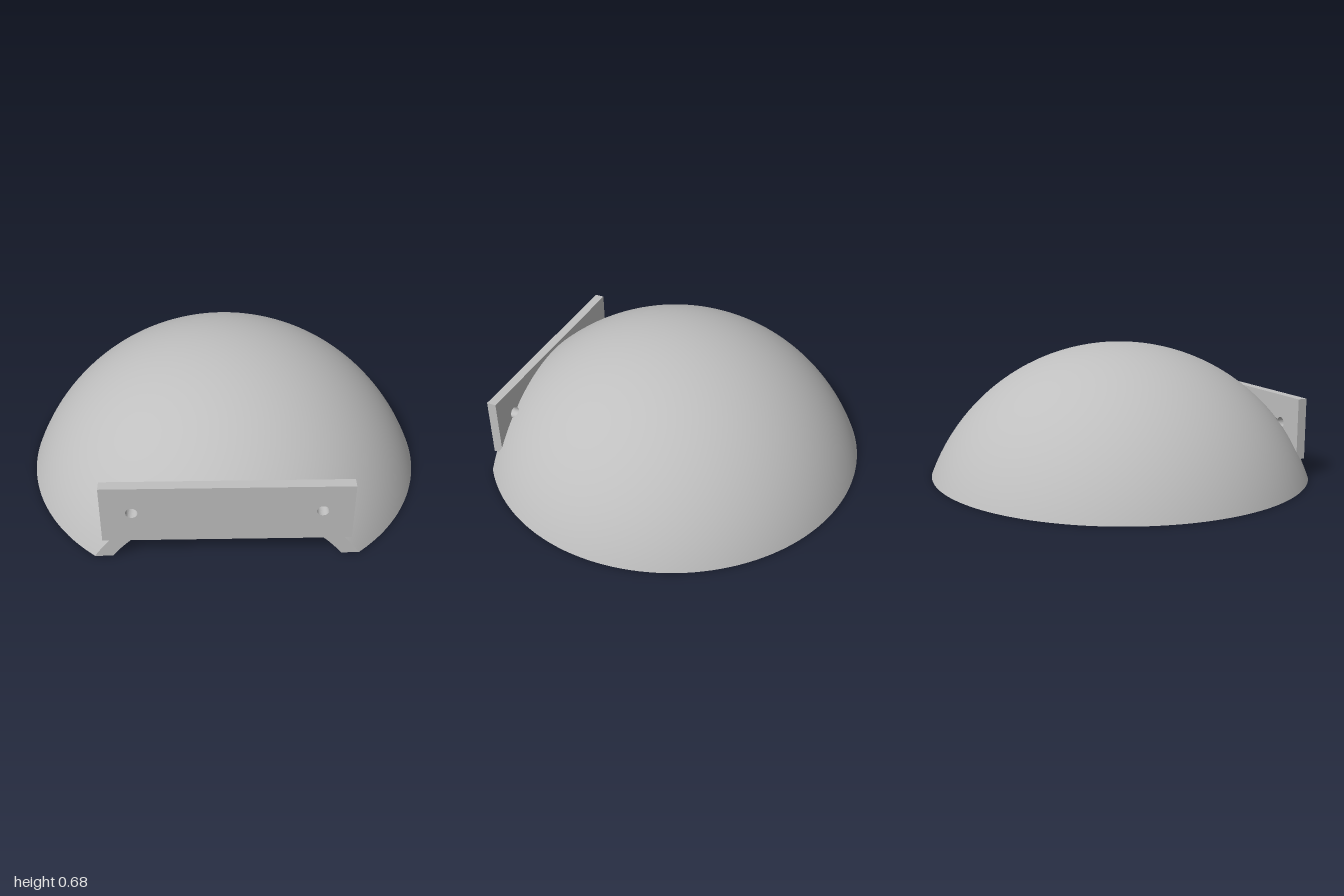
import * as THREE from 'three';

const metal = new THREE.MeshStandardMaterial({ color: 0xbfbfbf });
metal.name = 'plain grey';

// Sphere centre sits C below the base; the dome is sliced flat at local z = CUT
const C = 0.39, CZ = 0.11, CUT = 0.78;
const R_OUT = Math.hypot(1, C), R_IN = 1.026;
const HOLE = { x: 0.44, y: 0.27 + C, r: 0.028, floor: 0.80 - CZ, n: 24 };
const NU = 64, NV = 72;

function mesh(name, geometry) {
  const m = new THREE.Mesh(geometry, metal);
  m.name = name;
  return m;
}

// Points round a screw hole, lying on the sphere of radius R
function holeRim(R, side) {
  return Array.from({ length: HOLE.n }, (_, i) => {
    const a = (i / HOLE.n) * Math.PI * 2;
    const x = side * HOLE.x + HOLE.r * Math.cos(a), y = HOLE.y + HOLE.r * Math.sin(a);
    return new THREE.Vector3(x, y, Math.sqrt(R * R - x * x - y * y));
  });
}

// Part-sphere trimmed by the base and the front cut; facing is 1 outward, -1 inward
function domeSurface(R, facing, withHoles) {
  const t0 = Math.acos(CUT / R), span = Math.PI - Math.asin(C / R) - t0;
  const phiStart = (t) => Math.asin(Math.min(1, C / (R * Math.sin(t))));
  const pts = [], index = [];
  for (let j = 0; j <= NV; j++) {
    const t = t0 + span * Math.sin((j / NV) * Math.PI / 2);
    const p0 = phiStart(t), r = R * Math.sin(t);
    for (let i = 0; i <= NU; i++) {
      const phi = p0 + (Math.PI - 2 * p0) * i / NU;
      pts.push(new THREE.Vector3(r * Math.cos(phi), r * Math.sin(phi), R * Math.cos(t)));
    }
  }
  const id = (i, j) => j * (NU + 1) + i;
  const tri = (a, b, c) => {
    const n = pts[b].clone().sub(pts[a]).cross(pts[c].clone().sub(pts[a]));
    if (n.length() < 1e-10) return;
    if (n.dot(pts[a]) * facing > 0) index.push(a, b, c);
    else index.push(a, c, b);
  };

  // Grid windows that get re-triangulated round the screw holes
  const windows = withHoles ? [{ side: 1, i0: 12, i1: 17 }, { side: -1, i0: NU - 17, i1: NU - 12 }] : [];
  const rows = 3;
  for (let j = 0; j < NV; j++) for (let i = 0; i < NU; i++) {
    if (windows.some((w) => j < rows && i >= w.i0 && i < w.i1)) continue;
    tri(id(i, j), id(i + 1, j), id(i, j + 1));
    tri(id(i + 1, j), id(i + 1, j + 1), id(i, j + 1));
  }
  for (const w of windows) {
    const contour = [];
    for (let i = w.i0; i < w.i1; i++) contour.push([i, 0]);
    for (let j = 0; j < rows; j++) contour.push([w.i1, j]);
    for (let i = w.i1; i > w.i0; i--) contour.push([i, rows]);
    for (let j = rows; j > 0; j--) contour.push([w.i0, j]);
    const ids = contour.map(([i, j]) => id(i, j));
    const rim = holeRim(R, w.side).map((p) => {
      ids.push(pts.push(p) - 1);
      const t = Math.acos(p.z / R), p0 = phiStart(t);
      return new THREE.Vector2(
        (Math.atan2(p.y, p.x) - p0) / (Math.PI - 2 * p0) * NU,
        Math.asin((t - t0) / span) * 2 / Math.PI * NV);
    });
    const outline = contour.map(([i, j]) => new THREE.Vector2(i, j));
    for (const f of THREE.ShapeUtils.triangulateShape(outline, [rim])) tri(ids[f[0]], ids[f[1]], ids[f[2]]);
  }

  const g = new THREE.BufferGeometry().setFromPoints(pts);
  const normals = pts.flatMap((p) => p.clone().normalize().multiplyScalar(facing).toArray());
  g.setAttribute('normal', new THREE.Float32BufferAttribute(normals, 3));
  g.setIndex(index);
  return g;
}

// Wall of a blind screw hole, from the dome surface down to its floor
function pocketWall(side) {
  const pts = [], index = [], n = HOLE.n;
  for (const p of holeRim(R_OUT, side)) pts.push(p, new THREE.Vector3(p.x, p.y, HOLE.floor));
  for (let i = 0; i < n; i++) {
    const a = 2 * i, b = 2 * ((i + 1) % n);
    index.push(a, b, a + 1, b, b + 1, a + 1);
  }
  const g = new THREE.BufferGeometry().setFromPoints(pts);
  g.setIndex(index);
  g.computeVertexNormals();
  return g;
}

export function createModel() {
  const model = new THREE.Group();
  model.name = 'domeCover';

  // Hollow shell, in sphere-centred coordinates
  const shell = new THREE.Group();
  shell.name = 'domeShell';
  shell.position.set(0, -C, CZ);
  model.add(shell);
  shell.add(mesh('domeOutside', domeSurface(R_OUT, 1, true)));
  shell.add(mesh('domeInside', domeSurface(R_IN, -1, false)));

  // Flat rim underneath
  const rimIn = Math.sqrt(R_IN * R_IN - C * C);
  const aOut = Math.asin(CUT), aIn = Math.asin(CUT / rimIn);
  const rim = new THREE.Shape();
  rim.absarc(0, 0, 1, Math.PI - aOut, Math.PI * 2 + aOut, false);
  rim.absarc(0, 0, rimIn, Math.PI * 2 + aIn, Math.PI - aIn, true);
  const rimGeometry = new THREE.ShapeGeometry(rim, 128).rotateX(Math.PI / 2).translate(0, C, 0);
  shell.add(mesh('bottomRim', rimGeometry));

  for (const side of [1, -1]) {
    // Cut ends of the shell below the mounting plate
    const edge = (R, y) => new THREE.Vector2(side * Math.sqrt(R * R - CUT * CUT - y * y), y);
    const steps = [0, 0.025, 0.05, 0.075, 0.1].map((y) => y + C);
    const foot = new THREE.Shape([
      ...steps.map((y) => edge(R_OUT, y)),
      ...steps.reverse().map((y) => edge(R_IN, y)),
    ]);
    shell.add(mesh('shellEnd', new THREE.ShapeGeometry(foot).translate(0, 0, CUT)));

    // Blind screw holes in the shell
    shell.add(mesh('screwHoleWall', pocketWall(side)));
    const floor = new THREE.CircleGeometry(HOLE.r, HOLE.n).translate(side * HOLE.x, HOLE.y, HOLE.floor);
    shell.add(mesh('screwHoleFloor', floor));
  }

  // Mounting plate with two holes
  const outline = new THREE.Shape([[-0.585, 0.1], [0.585, 0.1], [0.585, 0.417], [-0.585, 0.417]]
    .map(([x, y]) => new THREE.Vector2(x, y)));
  for (const side of [1, -1]) {
    outline.holes.push(new THREE.Path().absarc(side * HOLE.x, HOLE.y - C, HOLE.r, 0, Math.PI * 2, true));
  }
  const plate = new THREE.ExtrudeGeometry(outline, { depth: 0.05, bevelEnabled: false, curveSegments: HOLE.n });
  model.add(mesh('mountingPlate', plate.translate(0, 0, CUT + CZ - 0.05)));

  return model;
}
